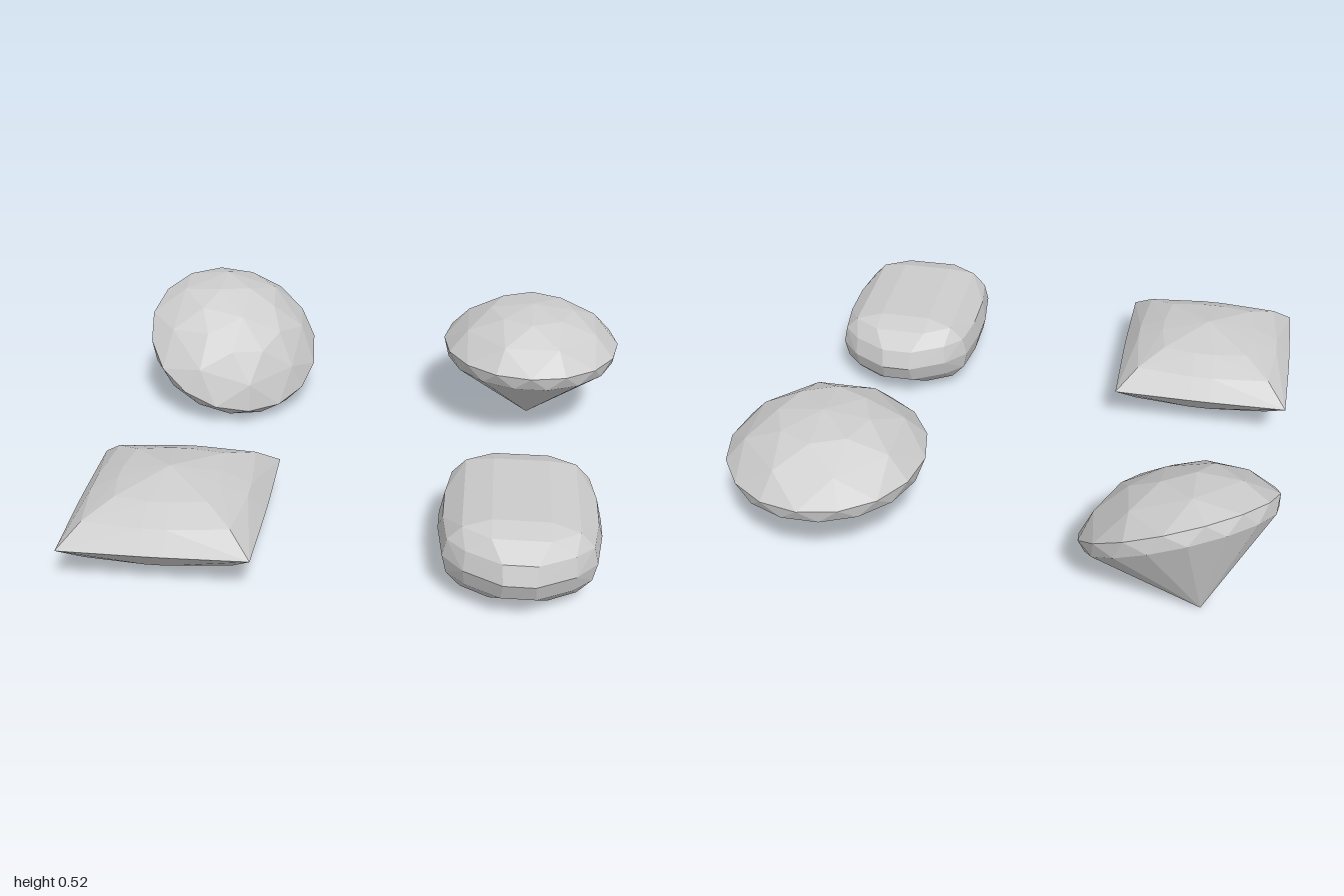
import * as THREE from 'three';
import { ConvexGeometry } from 'three/addons/geometries/ConvexGeometry.js';

const material = new THREE.MeshStandardMaterial({ color: 0xcccccc, flatShading: true });

// Faceted stone: the hull of its facet corners
function gem(name, points, x, y, z) {
  const mesh = new THREE.Mesh(new ConvexGeometry(points), material);
  mesh.name = name;
  mesh.position.set(x, y, z);
  return mesh;
}

// Ring of n corners, offset by a fraction of one step
function ring(radius, y, n, offset = 0) {
  return Array.from({ length: n }, (_, i) => {
    const a = ((i + offset) / n) * Math.PI * 2;
    return new THREE.Vector3(Math.cos(a) * radius, y, Math.sin(a) * radius);
  });
}

// Mirror a corner into all four quadrants, above and below the girdle
function mirrored([x, y, z]) {
  const out = [];
  for (const sx of [-1, 1]) for (const sy of [-1, 1]) for (const sz of [-1, 1]) {
    out.push(new THREE.Vector3(x * sx, y * sy, z * sz));
  }
  return out;
}

// Round brilliant cut, culet at the origin
function brilliantPoints() {
  return [
    new THREE.Vector3(0, 0, 0),
    ...ring(0.19, 0.165, 8, 0.5),
    ...ring(0.347, 0.285, 16, 0.5),
    ...ring(0.363, 0.34, 16),
    ...ring(0.285, 0.425, 8, 0.5),
    ...ring(0.17, 0.487, 8),
    new THREE.Vector3(0, 0.51, 0),
  ];
}

// Square cushion: rings of corners and edge middles closing to a point
function cushionPoints() {
  const rings = [ // y, corner half width, edge-middle half width
    [0, 0.34, 0.345], [0.075, 0.262, 0.285], [0.122, 0.165, 0.185],
  ];
  const points = mirrored([0, 0.16, 0]);
  for (const [y, corner, middle] of rings) {
    points.push(...mirrored([corner, y, corner]), ...mirrored([middle, y, 0.04]), ...mirrored([0.04, y, middle]));
  }
  return points;
}

// Long step cut with clipped corners
function stepPoints() {
  return [
    [0.055, 0, 0.378], [0.19, 0, 0.305], [0.265, 0, 0.22], [0.288, 0, 0.05], // girdle
    [0.06, 0.068, 0.352], [0.185, 0.068, 0.285], [0.25, 0.068, 0.22], [0.27, 0.068, 0.08], // steps
    [0.1, 0.12, 0.28], [0.2, 0.122, 0.22], // table border
    [0.1, 0.145, 0.2], // table
  ].flatMap(mirrored);
}

export function createModel() {
  const group = new THREE.Group();
  group.name = 'gemstones';

  const upright = gem('uprightBrilliant', brilliantPoints(), 0.637, 0.008, -0.57);

  // Second brilliant rests on its pavilion
  const tilted = gem('tiltedBrilliant', brilliantPoints(), -0.75, 0, -0.785);
  const axis = new THREE.Vector3(0.33, 0.81, 0.48).normalize();
  tilted.quaternion.setFromUnitVectors(new THREE.Vector3(0, 1, 0), axis);

  const cushion = gem('squareCushion', cushionPoints(), -0.655, 0.166, 0.535);
  const step = gem('stepCut', stepPoints(), 0.598, 0.172, 0.56);

  group.add(upright, tilted, cushion, step);
  return group;
}
